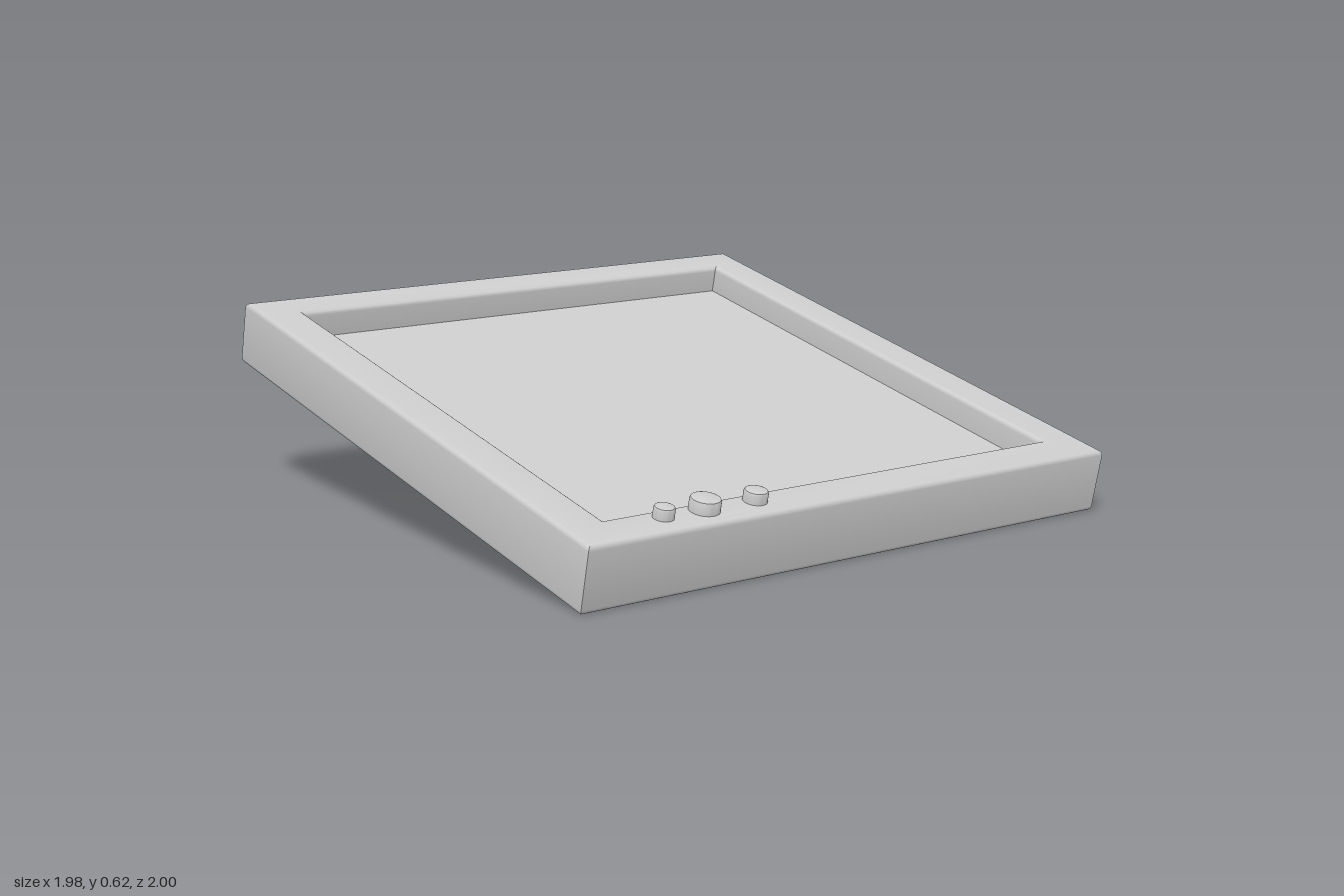
import * as THREE from 'three';
import { toCreasedNormals } from 'three/addons/utils/BufferGeometryUtils.js';

const LENGTH = 1.99, WIDTH = 2, THICK = 0.21, BEVEL = 0.016;
const OPENING = 0.857, RECESS = 0.092, TILT = 0.213;

function rectangle(PathType, hx, hy) {
  return new PathType([[-hx, -hy], [hx, -hy], [hx, hy], [-hx, hy]]
    .map(([x, y]) => new THREE.Vector2(x, y)));
}

export function createModel() {
  const model = new THREE.Group();
  model.name = 'tiltedTray';
  const material = new THREE.MeshStandardMaterial({ color: 0xcccccc });

  // Everything is built flat around the slab's centre, then tilted
  const body = new THREE.Group();
  body.name = 'body';
  body.rotation.z = -TILT;
  body.position.set(0, 0.309, 0);
  model.add(body);

  const add = (name, geometry, x, y, z) => {
    const mesh = new THREE.Mesh(geometry, material);
    mesh.name = name;
    mesh.position.set(x, y, z);
    body.add(mesh);
  };

  // Frame with softly rounded inner and outer edges
  const outline = rectangle(THREE.Shape, LENGTH / 2, WIDTH / 2);
  outline.holes.push(rectangle(THREE.Path, OPENING, OPENING));
  const frame = new THREE.ExtrudeGeometry(outline, {
    depth: THICK - 2 * BEVEL, bevelThickness: BEVEL, bevelSize: BEVEL,
    bevelOffset: -BEVEL, bevelSegments: 4,
  });
  frame.translate(0, 0, -THICK / 2 + BEVEL);
  frame.rotateX(-Math.PI / 2);
  add('frame', toCreasedNormals(frame, 0.6), 0, 0, 0);

  // Recessed panel, closing the underside as well
  const panelSide = 2 * (OPENING + BEVEL);
  const panelHeight = THICK - RECESS;
  add('panel', new THREE.BoxGeometry(panelSide, panelHeight, panelSide),
    0, (panelHeight - THICK) / 2, 0);

  // Row of round knobs on the low rim: z, radius, height
  for (const [z, r, h] of [[0.355, 0.037, 0.036], [0.54, 0.047, 0.04], [0.685, 0.032, 0.036]]) {
    const profile = [[r, -0.01], [r, h - 0.008], [r - 0.003, h - 0.002], [r - 0.009, h], [0, h]]
      .map(([x, y]) => new THREE.Vector2(x, y));
    add('knob', toCreasedNormals(new THREE.LatheGeometry(profile, 32), 0.6), 0.907, THICK / 2, z);
  }

  return model;
}
